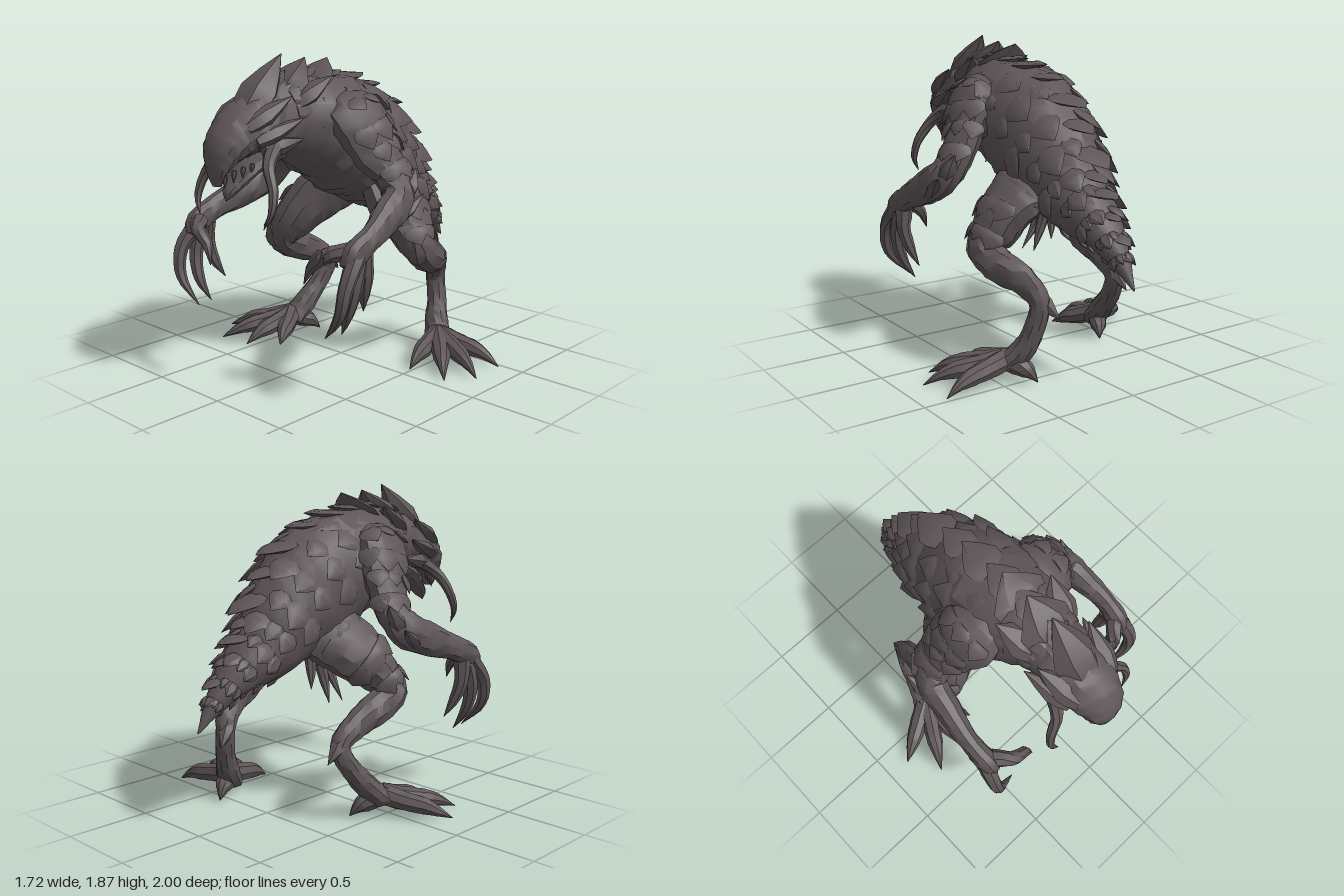
import * as THREE from 'three';
import { mergeGeometries, toCreasedNormals } from 'three/addons/utils/BufferGeometryUtils.js';

const V = (x, y, z) => new THREE.Vector3(x, y, z);

// Tapered tube through stations [x, y, z, halfWidth, halfHeight]; halfWidth runs along ref
function tube(pts, { segs = 4, sides = 10, ref = null, rough = 0.05 } = {}) {
  const path = new THREE.CatmullRomCurve3(pts.map(p => V(p[0], p[1], p[2])));
  const size = new THREE.CatmullRomCurve3(pts.map(p => V(p[3], p[4], 0)), false, 'catmullrom', 0.5);
  const dir = path.getPoint(1).sub(path.getPoint(0)).normalize();
  const side = ref || (Math.abs(dir.x) > 0.8 ? V(0, 1, 0) : V(1, 0, 0));
  const frame = u => {
    const T = path.getTangent(u);
    const S = side.clone().addScaledVector(T, -side.dot(T)).normalize();
    const r = size.getPoint(u);
    return { P: path.getPoint(u), T, S, N: T.clone().cross(S), w: Math.max(r.x, 0.001), h: Math.max(r.y, 0.001) };
  };
  const at = (u, a, k = 1) => {
    const f = frame(u);
    f.out = f.S.clone().multiplyScalar(Math.cos(a) / f.w).addScaledVector(f.N, Math.sin(a) / f.h).normalize();
    f.P.addScaledVector(f.S, f.w * Math.cos(a) * k).addScaledVector(f.N, f.h * Math.sin(a) * k);
    return f;
  };
  const n = segs * (pts.length - 1), pos = [], idx = [];
  for (let i = -1; i <= n + 1; i++) {
    const u = THREE.MathUtils.clamp(i / n, 0, 1), cap = i < 0 || i > n;
    for (let j = 0; j < sides; j++) {
      const a = j / sides * Math.PI * 2;
      const k = cap ? 0 : 1 + rough * Math.sin(i * 2.3 + j * 1.7) * Math.cos(j * 2.9 - i);
      pos.push(...at(u, a, k).P.toArray());
      if (i <= n) {
        const r = (i + 1) * sides, b = r + (j + 1) % sides;
        idx.push(r + j, b, r + j + sides, b, b + sides, r + j + sides);
      }
    }
  }
  const geo = new THREE.BufferGeometry();
  geo.setAttribute('position', new THREE.Float32BufferAttribute(pos, 3));
  geo.setIndex(idx);
  return { geo: toCreasedNormals(geo, 0.55), at };
}

// Pointed scale, claw or thorn
function spike(base, tip, w, t, ref) {
  const b = V(...base), e = V(...tip), m = b.clone().lerp(e, 0.4);
  return tube([[...b, w * 0.75, t * 0.8], [...m, w, t], [...e, 0, 0]], { segs: 2, sides: 6, ref, rough: 0 }).geo;
}

// Overlapping scales laid over a tube, staggered row by row, smaller where the tube is thin
function scales(body, rows, u0, u1, angles, len, w, lift) {
  const out = [];
  for (let i = 0; i < rows; i++) {
    const u = u0 + (u1 - u0) * i / (rows - 1);
    angles.forEach((a, j) => {
      const ang = a + (i % 2 ? 0.14 : -0.14) * (a > -1.6 && a < -1.5 ? 0 : 1);
      const f = body.at(u, ang, 0.92);
      const k = Math.min(1, 0.15 + f.w * 3.1) * (0.9 + 0.15 * Math.sin(i * 3 + j * 5));
      const tip = f.P.clone().addScaledVector(f.T, len * k).addScaledVector(f.out, lift * k);
      out.push(spike(f.P.toArray(), tip.toArray(), w * k, 0.026 * Math.sqrt(k), f.T.clone().cross(f.out)));
    });
  }
  return out;
}

export function createModel() {
  const model = new THREE.Group();
  model.name = 'hunchedBeast';
  const hide = new THREE.MeshStandardMaterial({ color: 0x5e5558 });
  hide.name = 'darkHide';
  const add = (name, ...geos) => {
    const mesh = new THREE.Mesh(geos.length > 1 ? mergeGeometries(geos) : geos[0], hide);
    mesh.name = name;
    model.add(mesh);
  };

  // Body from neck to tail tip
  const body = tube([
    [0, 1.5, 0.72, 0.16, 0.16], [0, 1.54, 0.47, 0.2, 0.22], [0, 1.48, 0.22, 0.31, 0.3],
    [0, 1.36, -0.06, 0.31, 0.35], [0, 1.19, -0.3, 0.27, 0.3], [0, 1.01, -0.5, 0.2, 0.21],
    [0, 0.88, -0.71, 0.13, 0.12], [0, 0.74, -0.87, 0.06, 0.06], [0, 0.6, -0.99, 0.004, 0.005],
  ], { sides: 16 });
  add('body', body.geo);

  // Back plates: central ridge, then flank rows
  const top = -Math.PI / 2;
  add('backRidge', ...scales(body, 13, 0.08, 0.88, [top], 0.23, 0.12, 0.1));
  const flank = [0.5, 1.0, 1.45].flatMap(d => [top - d, top + d]);
  add('flankScales', ...scales(body, 12, 0.1, 0.87, flank, 0.19, 0.09, 0.04));
  add('tailUnderScales', ...scales(body, 5, 0.66, 0.88, [1.1, 2.04], 0.14, 0.06, 0.015));

  // Skull with hooked beak
  const skull = tube([
    [0, 1.55, 0.46, 0.18, 0.19], [0, 1.53, 0.68, 0.185, 0.165], [0, 1.48, 0.82, 0.165, 0.135],
    [0, 1.4, 0.91, 0.13, 0.1], [0, 1.31, 0.955, 0.085, 0.045], [0, 1.22, 0.96, 0.03, 0.02],
  ], { sides: 12 });
  add('skull', skull.geo);
  add('crest',
    spike([0, 1.55, 0.76], [0, 1.89, 0.48], 0.13, 0.1),
    spike([0, 1.46, 0.9], [0, 1.72, 0.68], 0.11, 0.05),
    spike([0, 1.65, 0.52], [0, 1.86, 0.3], 0.16, 0.07),
    spike([0, 1.68, 0.32], [0, 1.85, 0.12], 0.17, 0.05));
  add('lowerJaw', tube([
    [0, 1.38, 0.58, 0.14, 0.08], [0, 1.31, 0.72, 0.11, 0.055], [0, 1.23, 0.82, 0.075, 0.04],
    [0, 1.17, 0.88, 0.04, 0.03], [0, 1.13, 0.9, 0.004, 0.004]]).geo);

  // Clawed hand with thumb, on a long bent arm
  const arm = (s, dz, label) => {
    const m = list => list.map(([x, y, z, ...r]) => [s * x, y, z + dz * THREE.MathUtils.smoothstep(z, 0.1, 0.5), ...r]);
    const limb = tube(m([
      [0.16, 1.6, 0.18, 0.09, 0.14], [0.27, 1.55, 0.17, 0.11, 0.19], [0.35, 1.38, 0.12, 0.105, 0.17],
      [0.45, 1.21, 0.07, 0.09, 0.115], [0.53, 1.1, 0.1, 0.09, 0.11], [0.565, 1.02, 0.24, 0.08, 0.1],
      [0.595, 0.94, 0.4, 0.06, 0.075], [0.59, 0.87, 0.53, 0.065, 0.075], [0.58, 0.8, 0.58, 0.045, 0.04],
    ]));
    add(label + 'Arm', limb.geo);
    const fingers = [
      [[0.6, 0.87, 0.52], [0.625, 0.72, 0.63], [0.6, 0.56, 0.655], [0.47, 0.4, 0.63]],
      [[0.59, 0.84, 0.5], [0.6, 0.68, 0.54], [0.56, 0.53, 0.55], [0.49, 0.4, 0.52]],
      [[0.59, 0.86, 0.46], [0.6, 0.74, 0.45], [0.57, 0.62, 0.43], [0.53, 0.51, 0.39]],
      [[0.56, 0.88, 0.54], [0.47, 0.86, 0.62], [0.38, 0.79, 0.63], [0.33, 0.68, 0.65]],
    ];
    const r = [0.055, 0.043, 0.033, 0.002];
    add(label + 'Claws', ...fingers.map(f => tube(m(f.map((p, i) => [...p, r[i], r[i]])), { sides: 7 }).geo));
    const [a, b] = m([[0.53, 1.1, 0.05], [0.53, 1.25, -0.05]]);
    const [c, d] = m([[0.57, 1.0, 0.14], [0.62, 1.12, -0.01]]);
    add(label + 'ElbowSpikes', spike(a, b, 0.065, 0.05), spike(c, d, 0.05, 0.035));
    const ang = [-1.2, -0.4, 0.4].map(t => (s > 0 ? t : Math.PI - t));
    add(label + 'ShoulderScales', ...scales(limb, 4, 0.1, 0.34, ang, 0.27, 0.16, 0.035));
  };
  arm(1, 0, 'left');
  arm(-1, 0.1, 'right');

  // Digitigrade legs in mid-stride
  const leg = (s, label, stations, toes, heel, knee) => {
    const m = ([x, ...rest]) => [s * x, ...rest];
    const limb = tube(stations.map(m));
    add(label + 'Leg', limb.geo);
    const [fx, fy, fz] = stations[stations.length - 1];
    add(label + 'Toes', ...toes.map(([x, y, z]) => {
      const mid = (t, h, r) => [fx + (x - fx) * t, h, fz + (z - fz) * t, r, r];
      return tube([[fx, fy + 0.03, fz, 0.065, 0.065], mid(0.35, 0.115, 0.058), mid(0.62, 0.095, 0.05),
        mid(0.8, 0.07, 0.03), [x, y, z, 0.002, 0.002]].map(m), { sides: 8, segs: 3 }).geo;
    }));
    add(label + 'LegSpikes', spike(m(heel[0]), m(heel[1]), 0.05, 0.045), spike(m(knee[0]), m(knee[1]), 0.07, 0.05));
    const ang = [-0.8, 0, 0.8].map(t => (s > 0 ? t : Math.PI - t));
    add(label + 'ThighScales', ...scales(limb, 3, 0.06, 0.26, ang, 0.24, 0.16, 0.0));
  };
  leg(1, 'left', [
    [0.1, 1.12, -0.24, 0.1, 0.2], [0.23, 1.0, -0.21, 0.13, 0.22], [0.35, 0.86, -0.21, 0.13, 0.17],
    [0.43, 0.73, -0.22, 0.105, 0.105], [0.42, 0.66, -0.32, 0.095, 0.105], [0.36, 0.6, -0.46, 0.075, 0.09],
    [0.3, 0.48, -0.55, 0.06, 0.062], [0.33, 0.31, -0.53, 0.06, 0.06], [0.37, 0.19, -0.48, 0.075, 0.07],
    [0.43, 0.11, -0.42, 0.09, 0.06],
  ], [[0.85, 0.02, -0.47], [0.86, 0.02, -0.23], [0.74, 0.02, -0.08], [0.5, 0.03, -0.06], [0.33, 0.03, -0.58]],
  [[0.3, 0.52, -0.52], [0.23, 0.39, -0.645]], [[0.45, 0.66, -0.18], [0.47, 0.84, -0.11]]);
  leg(-1, 'right', [
    [0.1, 1.12, -0.21, 0.1, 0.19], [0.24, 0.99, -0.08, 0.13, 0.19], [0.35, 0.84, 0.05, 0.13, 0.14],
    [0.43, 0.71, 0.09, 0.105, 0.09], [0.43, 0.64, -0.03, 0.095, 0.1], [0.42, 0.57, -0.19, 0.075, 0.08],
    [0.42, 0.47, -0.32, 0.058, 0.06], [0.45, 0.33, -0.26, 0.06, 0.06], [0.47, 0.21, -0.15, 0.075, 0.068],
    [0.5, 0.12, -0.06, 0.09, 0.06],
  ], [[0.86, 0.04, 0.15], [0.73, 0.03, 0.34], [0.52, 0.03, 0.32], [0.34, 0.04, 0.2], [0.4, 0.03, -0.22]],
  [[0.42, 0.52, -0.29], [0.43, 0.39, -0.43]], [[0.43, 0.67, 0.13], [0.44, 0.83, 0.18]]);

  // Mirrored head details: tusks, brow horns, cheek plates, teeth
  for (const [s, label] of [[1, 'left'], [-1, 'right']]) {
    add(label + 'Tusk', tube([
      [0.14, 1.43, 0.66, 0.05, 0.05], [0.21, 1.33, 0.78, 0.036, 0.036], [0.285, 1.21, 0.82, 0.028, 0.028],
      [0.3, 1.1, 0.85, 0.02, 0.02], [0.26, 1.01, 0.87, 0.002, 0.002],
    ].map(([x, ...r]) => [s * x, ...r]), { sides: 7 }).geo);
    add(label + 'HeadPlates',
      spike([s * 0.1, 1.52, 0.84], [s * 0.19, 1.68, 0.58], 0.08, 0.05),
      spike([s * 0.13, 1.45, 0.8], [s * 0.22, 1.56, 0.52], 0.07, 0.045),
      spike([s * 0.13, 1.4, 0.74], [s * 0.19, 1.44, 0.5], 0.06, 0.05),
      spike([s * 0.1, 1.62, 0.5], [s * 0.2, 1.77, 0.28], 0.1, 0.05));
    add(label + 'Teeth', ...[0, 1, 2, 3].map(i => spike(
      [s * (0.045 + i * 0.022), 1.29 + i * 0.015, 0.94 - i * 0.045],
      [s * (0.04 + i * 0.02), 1.21 + i * 0.024, 0.94 - i * 0.045], 0.015, 0.015)));
  }
  return model;
}
